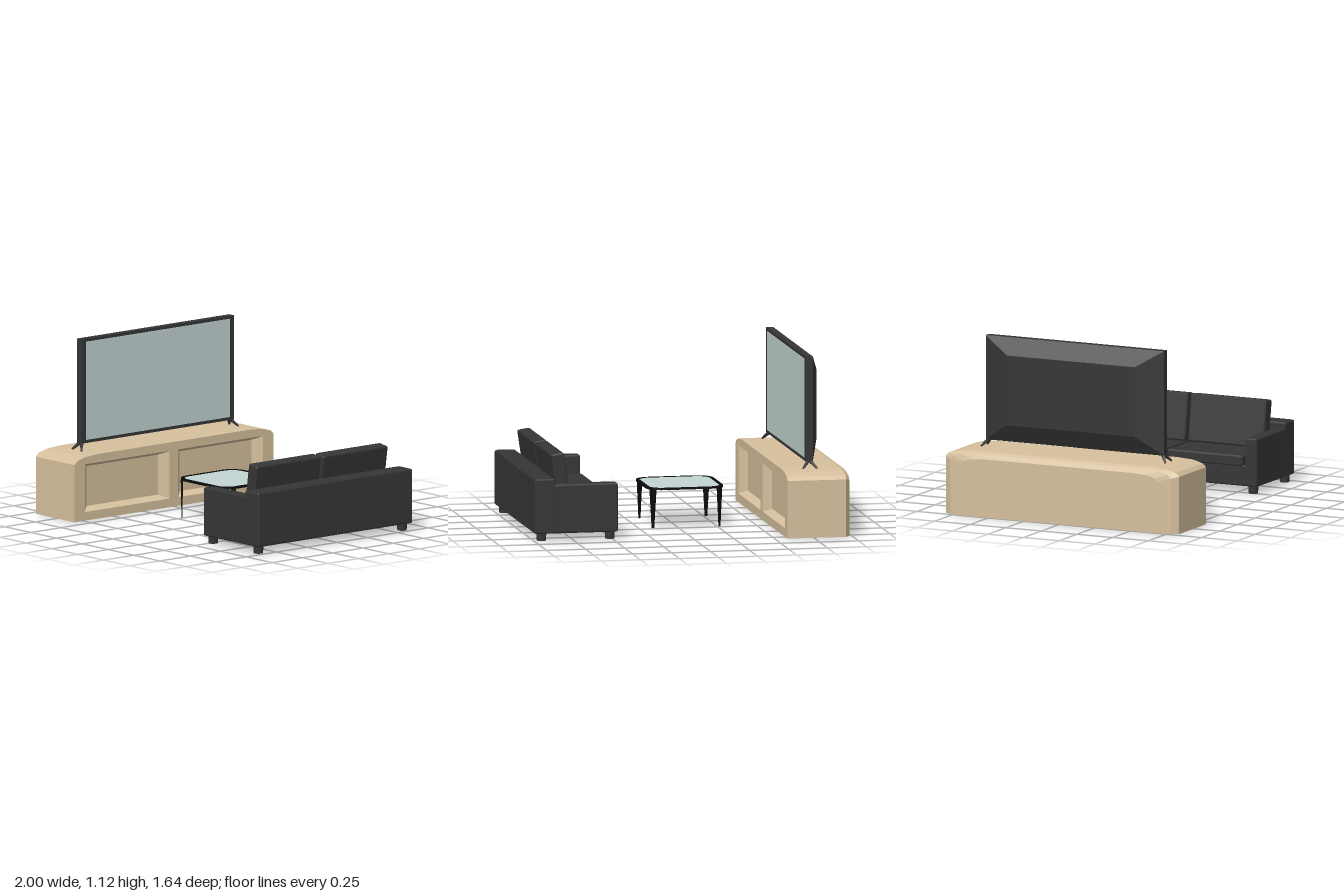
import * as THREE from 'three';
import { RoundedBoxGeometry } from 'three/addons/geometries/RoundedBoxGeometry.js';

const mat = (name, color, opts = {}) => {
  const m = new THREE.MeshStandardMaterial({ color, ...opts });
  m.name = name;
  return m;
};

// Skin over rings of equal length; closes the last ring, and the first if asked
function loft(rings, capStart = false) {
  const pos = [];
  const tri = (...pts) => pts.forEach((p) => pos.push(p.x, p.y, p.z));
  const n = rings[0].length;
  for (let k = 0; k + 1 < rings.length; k++) {
    for (let i = 0; i < n; i++) {
      const j = (i + 1) % n;
      const [a, b, c, d] = [rings[k][i], rings[k][j], rings[k + 1][j], rings[k + 1][i]];
      tri(a, b, c);
      tri(a, c, d);
    }
  }
  const first = rings[0], last = rings[rings.length - 1];
  for (let i = 1; i + 1 < n; i++) {
    tri(last[0], last[i], last[i + 1]);
    if (capStart) tri(first[0], first[i + 1], first[i]);
  }
  const g = new THREE.BufferGeometry();
  g.setAttribute('position', new THREE.Float32BufferAttribute(pos, 3));
  g.computeVertexNormals();
  return g;
}

// Rectangle in the plane x = const, wound to face -x
const rectRing = (x, z0, z1, y0, y1) =>
  [[z0, y0], [z1, y0], [z1, y1], [z0, y1]].map(([z, y]) => new THREE.Vector3(x, y, z));

// Rounded square outline
function roundedSquare(target, h, r) {
  const c = h - r;
  target.moveTo(c, -h);
  target.absarc(c, -c, r, -Math.PI / 2, 0, false);
  target.absarc(c, c, r, 0, Math.PI / 2, false);
  target.absarc(-c, c, r, Math.PI / 2, Math.PI, false);
  target.absarc(-c, -c, r, Math.PI, Math.PI * 1.5, false);
  return target;
}

export function createModel() {
  const wood = mat('pale wood', 0xd6c09d);
  const fabric = mat('charcoal fabric', 0x363636);
  const plastic = mat('dark plastic', 0x353535);
  const glass = mat('pale glass', 0xc2d4d2);
  const metal = mat('black metal', 0x0b0b0b);

  const model = new THREE.Group();
  const group = (name) => {
    const g = new THREE.Group();
    g.name = name;
    model.add(g);
    return g;
  };
  const add = (parent, name, geometry, material, x = 0, y = 0, z = 0) => {
    const m = new THREE.Mesh(geometry, material);
    m.name = name;
    m.position.set(x, y, z);
    parent.add(m);
    return m;
  };

  // Cabinet: arched cross-section, narrowing at the rounded back
  const cabinet = group('cabinet');
  const half = [[0.82, 0], [0.82, 0.365], [0.797, 0.388], [0.73, 0.406], [0.62, 0.413]];
  const outline = [...half, ...half.map(([z, y]) => [-z, y]).reverse()];
  const section = (x, sz, sy) => outline.map(([z, y]) => new THREE.Vector3(x, y * sy, z * sz));
  add(cabinet, 'cabinetBody', loft([
    section(-0.58, 1, 1), section(-0.955, 1, 1),
    section(-0.985, 0.945, 0.97), section(-1, 0.84, 0.9),
  ]), wood);

  // Cabinet front with two bevelled recesses
  const front = new THREE.Shape(outline.map(([z, y]) => new THREE.Vector2(z, y)));
  for (const s of [-1, 1]) {
    const z0 = s < 0 ? -0.735 : 0.035, z1 = z0 + 0.7;
    front.holes.push(new THREE.Path([[z0, 0.055], [z0, 0.36], [z1, 0.36], [z1, 0.055]]
      .map(([z, y]) => new THREE.Vector2(z, y))));
    const inner = rectRing(-0.63, z0 + 0.055, z1 - 0.055, 0.08, 0.335).reverse();
    add(cabinet, 'recessedPanel', loft([rectRing(-0.58, z0, z1, 0.055, 0.36).reverse(), inner]), wood);
  }
  add(cabinet, 'cabinetFront', new THREE.ShapeGeometry(front).rotateY(Math.PI / 2), wood, -0.58);

  // Television: slab with a bevelled back
  const tv = group('television');
  add(tv, 'televisionCase', loft([
    rectRing(-0.736, -0.626, 0.626, 0.456, 1.122),
    rectRing(-0.782, -0.626, 0.626, 0.456, 1.122),
    rectRing(-0.84, -0.45, 0.45, 0.57, 1.015),
  ], true), plastic);
  add(tv, 'screen', new THREE.BoxGeometry(0.004, 0.628, 1.185), glass, -0.736, 0.79, 0);

  // Splayed television feet
  const up = new THREE.Vector3(0, 1, 0);
  for (const s of [-1, 1]) {
    for (const fx of [-0.805, -0.715]) {
      const a = new THREE.Vector3(fx, 0.414, s * 0.648);
      const b = new THREE.Vector3(-0.762, 0.466, s * 0.605);
      const dir = b.clone().sub(a);
      const foot = add(tv, 'televisionFoot', new THREE.CylinderGeometry(0.014, 0.006, dir.length(), 6), plastic);
      foot.position.copy(a).add(b).multiplyScalar(0.5);
      foot.quaternion.setFromUnitVectors(up, dir.normalize());
    }
  }

  // Coffee table: rim, glass top and flat tapered legs across the corners
  const table = group('coffeeTable');
  table.position.set(-0.052, 0, -0.01);
  const rim = roundedSquare(new THREE.Shape(), 0.247, 0.1);
  rim.holes.push(roundedSquare(new THREE.Path(), 0.224, 0.078));
  const slab = (shape, depth) => new THREE.ExtrudeGeometry(shape, { depth, bevelEnabled: false, curveSegments: 4 })
    .rotateX(-Math.PI / 2);
  add(table, 'tableRim', slab(rim, 0.012), metal, 0, 0.244, 0);
  add(table, 'tableGlass', slab(roundedSquare(new THREE.Shape(), 0.226, 0.08), 0.007), glass, 0, 0.247, 0);
  for (const sx of [-1, 1]) {
    for (const sz of [-1, 1]) {
      const legGeo = new THREE.CylinderGeometry(0.033, 0.012, 0.246, 4).toNonIndexed();
      legGeo.rotateY(Math.PI / 4).scale(1, 1, 0.25).computeVertexNormals();
      const leg = add(table, 'tableLeg', legGeo, metal, sx * 0.213, 0.123, sz * 0.213);
      leg.rotation.y = sx * sz * Math.PI / 4;
    }
  }

  // Sofa: facing the television
  const sofa = group('sofa');
  sofa.position.z = 0.013;
  const pad = (name, x0, x1, y0, y1, z0, z1) => add(sofa, name,
    new RoundedBoxGeometry(x1 - x0, y1 - y0, z1 - z0, 1, 0.012), fabric,
    (x0 + x1) / 2, (y0 + y1) / 2, (z0 + z1) / 2);
  pad('sofaBase', 0.47, 0.9, 0.046, 0.18, -0.57, 0.57);
  pad('sofaBack', 0.868, 1, 0.046, 0.394, -0.638, 0.638);
  for (const s of [-1, 1]) {
    const zs = (a, b) => (s > 0 ? [a, b] : [-b, -a]);
    pad('armrest', 0.465, 0.885, 0.046, 0.356, ...zs(0.553, 0.638));
    pad('seatCushion', 0.458, 0.86, 0.172, 0.242, ...zs(0.01, 0.542));
    const back = pad('backCushion', 0.77, 0.854, 0.236, 0.54, ...zs(0.008, 0.542));
    back.rotation.z = -0.15;
    for (const x of [0.51, 0.948]) {
      add(sofa, 'sofaFoot', new THREE.CylinderGeometry(0.032, 0.03, 0.05, 12), fabric, x, 0.025, s * 0.592);
    }
  }

  return model;
}
